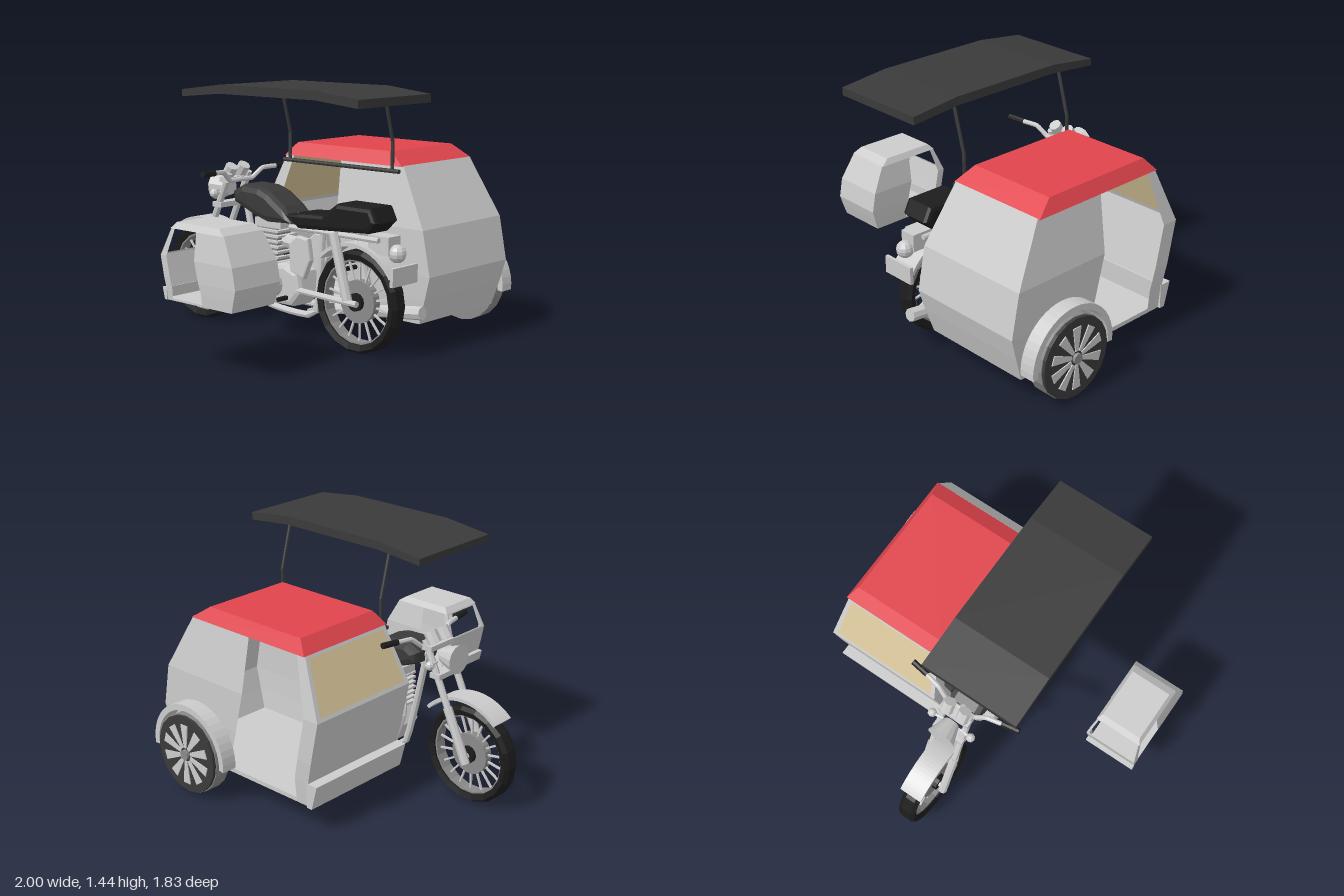
import * as THREE from 'three';

const GREY = 0xcccccc, DARK = 0x3a3a3a, BLACK = 0x1c1c1c, RED = 0xe0444c, TAN = 0xd8c69a, STEEL = 0x8a8a8a;
const V = (x, y, z) => new THREE.Vector3(x, y, z);
const CX = -0.06; // centre line of the motorcycle

function add(parent, name, geo, color = GREY, x = 0, y = 0, z = 0, double = false) {
  const mat = new THREE.MeshStandardMaterial({ color, flatShading: true });
  if (double) mat.side = THREE.DoubleSide;
  const m = new THREE.Mesh(geo, mat);
  m.name = name;
  m.position.set(x, y, z);
  parent.add(m);
  return m;
}
function group(parent, name, x = 0, y = 0, z = 0) {
  const g = new THREE.Group();
  g.name = name;
  g.position.set(x, y, z);
  parent.add(g);
  return g;
}
const box = (w, h, d) => new THREE.BoxGeometry(w, h, d);
const disc = (r, w, n = 18) => new THREE.CylinderGeometry(r, r, w, n).rotateZ(Math.PI / 2);

// Straight rod between two points
function rod(parent, name, a, b, r, color = GREY, r2 = r) {
  const geo = new THREE.CylinderGeometry(r2, r, a.distanceTo(b), 8);
  const m = add(parent, name, geo, color);
  m.position.copy(a).lerp(b, 0.5);
  m.quaternion.setFromUnitVectors(V(0, 1, 0), b.clone().sub(a).normalize());
  return m;
}
function tube(parent, name, pts, r, color = GREY) {
  const curve = new THREE.CatmullRomCurve3(pts, false, 'catmullrom', 0.2);
  return add(parent, name, new THREE.TubeGeometry(curve, 20, r, 8), color);
}
// Side outline (z, y) extruded across x, centred on x = 0
function sideExtrude(shape, w, bevel = 0) {
  const opt = { depth: w - 2 * bevel, bevelEnabled: bevel > 0, bevelThickness: bevel, bevelSize: bevel, bevelOffset: -bevel, bevelSegments: 2, curveSegments: 12 };
  return new THREE.ExtrudeGeometry(shape, opt).rotateY(-Math.PI / 2).translate(w / 2 - bevel, 0, 0);
}
const outline = pts => new THREE.Shape(pts.map(p => new THREE.Vector2(...p)));
function arch(r0, r1, from, to, w) {
  const s = new THREE.Shape(), k = Math.PI / 180;
  s.absarc(0, 0, r1, from * k, to * k, false);
  s.absarc(0, 0, r0, to * k, from * k, true);
  return sideExtrude(s, w);
}
// Sheet spanned between rows of points
function sheet(rows) {
  const p = [];
  for (let i = 0; i + 1 < rows.length; i++)
    for (let j = 0; j + 1 < rows[i].length; j++) {
      const a = rows[i][j], b = rows[i][j + 1], c = rows[i + 1][j + 1], d = rows[i + 1][j];
      for (const v of [a, b, c, a, c, d]) p.push(v.x, v.y, v.z);
    }
  const g = new THREE.BufferGeometry();
  g.setAttribute('position', new THREE.Float32BufferAttribute(p, 3));
  g.computeVertexNormals();
  return g;
}

// Cabin shell, x centred on 0
function cabin(parent, name, roofColor, glazed) {
  const g = group(parent, name);
  // height, half width, rear z, door rear z, door front z, front z
  const levels = [
    [0.16, 0.34, 0.82, 0.34, -0.15, -0.24],
    [0.305, 0.353, 0.865, 0.34, -0.15, -0.25],
    [0.43, 0.36, 0.9, 0.3, -0.18, -0.28],
    [0.68, 0.36, 0.85, 0.235, -0.235, -0.335],
    [1.01, 0.305, 0.67, 0.22, -0.14, -0.2],
  ];
  const shell = (n, rows) => add(g, n, sheet(rows), GREY, 0, 0, 0, true);
  shell('rearPanel', levels.map(([y, w, zr]) => [V(-w, y, zr), V(w, y, zr)]));
  for (const s of [-1, 1]) {
    shell('rearSidePanel', levels.map(([y, w, zr, zd]) => [V(s * w, y, zr), V(s * w, y, zd)]));
    shell('frontPillar', levels.map(([y, w, , , zd, zf]) => [V(s * w, y, zd), V(s * w, y, zf)]));
  }
  shell('frontPanel', levels.slice(0, 4).map(([y, w, , , , zf]) => [V(-w, y, zf), V(w, y, zf)]));
  // Window frame and glass in the sloped upper front
  const at = (u, v) => V(u * THREE.MathUtils.lerp(0.36, 0.305, v), 0.68 + 0.33 * v, -0.335 + 0.135 * v);
  const ring = (u, v0, v1) => [at(-u, v0), at(u, v0), at(u, v1), at(-u, v1), at(-u, v0)];
  shell('windowFrame', [ring(1, 0, 1), ring(0.92, 0.06, 0.93)]);
  if (glazed) add(g, 'windshield', sheet([[at(-0.92, 0.06), at(0.92, 0.06)], [at(-0.92, 0.93), at(0.92, 0.93)]]), TAN, 0, 0, 0, true);
  add(g, 'frontLip', sideExtrude(outline([[-0.24, 0.16], [-0.24, 0.305], [-0.315, 0.305], [-0.275, 0.16]]), 0.71));
  add(g, 'floor', box(0.68, 0.025, 1.06), GREY, 0, 0.172, 0.29);
  // Roof: sloped rim and flat top, open underneath
  const rim = (w, y, z0, z1) => [V(-w, y, z0), V(-w, y, z1), V(w, y, z1), V(w, y, z0), V(-w, y, z0)];
  add(g, 'roofRim', sheet([rim(0.318, 1.005, -0.205, 0.67), rim(0.275, 1.08, -0.14, 0.56)]), roofColor, 0, 0, 0, true);
  add(g, 'roofTop', sheet([[V(-0.275, 1.08, -0.14), V(-0.275, 1.08, 0.56)], [V(0.275, 1.08, -0.14), V(0.275, 1.08, 0.56)]]), roofColor, 0, 0, 0, true);
  return g;
}

function bikeWheel(parent, name, z) {
  const g = group(parent, name, 0, 0.285, z);
  const ring = pts => new THREE.LatheGeometry(pts.map(p => new THREE.Vector2(...p)), 18).rotateZ(Math.PI / 2);
  add(g, 'tire', ring([[0.235, -0.045], [0.268, -0.055], [0.285, -0.03], [0.285, 0.03], [0.268, 0.055], [0.235, 0.045], [0.235, -0.045]]), BLACK, 0, 0, 0, true);
  add(g, 'rim', ring([[0.225, -0.035], [0.238, -0.035], [0.238, 0.035], [0.225, 0.035], [0.225, -0.035]]), STEEL, 0, 0, 0, true);
  for (let i = 0; i < 18; i++) {
    const a = (i / 18) * Math.PI * 2;
    add(g, 'spoke', box(0.012, 0.13, 0.01), GREY, 0, 0.17 * Math.cos(a), 0.17 * Math.sin(a)).rotation.x = a;
  }
  add(g, 'hub', disc(0.12, 0.05), STEEL);
  add(g, 'hubCap', disc(0.05, 0.1, 12), BLACK);
}

function motorcycle(parent) {
  const g = group(parent, 'motorcycle', CX);
  bikeWheel(g, 'frontWheel', -0.635);
  bikeWheel(g, 'rearWheel', 0.575);
  add(g, 'frontFender', arch(0.32, 0.34, 42, 132, 0.14), GREY, 0, 0.285, -0.615);
  add(g, 'rearFender', arch(0.31, 0.33, 32, 135, 0.16), GREY, 0, 0.285, 0.575);
  // Bodywork
  add(g, 'fuelTank', sideExtrude(outline([[0.17, 0.67], [0.08, 0.76], [-0.03, 0.83], [-0.1, 0.855], [-0.23, 0.86], [-0.31, 0.82], [-0.3, 0.75], [-0.15, 0.69], [-0.05, 0.66]]), 0.22, 0.04), DARK);
  add(g, 'seat', sideExtrude(outline([[0.1, 0.72], [0.2, 0.65], [0.7, 0.68], [0.76, 0.74], [0.72, 0.82], [0.48, 0.82], [0.38, 0.75], [0.2, 0.74]]), 0.2, 0.025), BLACK);
  add(g, 'tailLight', new THREE.SphereGeometry(0.05, 10, 8), GREY, 0, 0.58, 0.83);
  add(g, 'tailBracket', box(0.1, 0.1, 0.14), GREY, 0, 0.62, 0.74);
  add(g, 'rearPlate', box(0.21, 0.1, 0.02), GREY, 0, 0.47, 0.875);
  // Engine with cooling fins
  add(g, 'crankcase', sideExtrude(outline([[0.22, 0.28], [0.2, 0.4], [0.1, 0.44], [-0.12, 0.42], [-0.17, 0.32], [-0.1, 0.2], [0.15, 0.2]]), 0.2, 0.03));
  for (const s of [-1, 1]) add(g, 'engineCover', disc(0.08, 0.05, 14), GREY, s * 0.105, 0.32, 0.01);
  add(g, 'cylinder', box(0.11, 0.26, 0.13), STEEL, 0, 0.53, -0.06);
  for (let i = 0; i < 7; i++) add(g, 'coolingFin', box(0.16, 0.012, 0.19), GREY, 0, 0.43 + i * 0.03, -0.06);
  add(g, 'cylinderHead', box(0.13, 0.05, 0.2), GREY, 0, 0.65, -0.06);
  rod(g, 'carburettor', V(0, 0.55, 0.02), V(0, 0.54, 0.18), 0.04);
  for (const s of [-1, 1])
    add(g, 'sideCover', sideExtrude(outline([[0.14, 0.4], [0.13, 0.56], [0.19, 0.61], [0.27, 0.6], [0.29, 0.48], [0.24, 0.37]]), 0.04, 0.01), GREY, s * 0.075);
  // Frame, swing arm, shocks and forks on both sides
  tube(g, 'downTube', [V(0, 0.78, -0.3), V(0, 0.4, -0.21), V(0, 0.17, -0.13), V(0, 0.16, 0.25), V(0, 0.62, 0.3)], 0.02);
  rod(g, 'backbone', V(0, 0.8, -0.32), V(0, 0.65, 0.3), 0.03);
  for (const s of [-1, 1]) {
    rod(g, 'swingArm', V(s * 0.08, 0.3, 0.18), V(s * 0.08, 0.285, 0.62), 0.018);
    rod(g, 'shockAbsorber', V(s * 0.09, 0.3, 0.56), V(s * 0.09, 0.66, 0.46), 0.028);
    rod(g, 'seatRail', V(s * 0.07, 0.65, 0.12), V(s * 0.07, 0.65, 0.76), 0.015);
    rod(g, 'forkLower', V(s * 0.08, 0.25, -0.655), V(s * 0.08, 0.55, -0.52), 0.026);
    rod(g, 'forkUpper', V(s * 0.08, 0.55, -0.52), V(s * 0.08, 0.91, -0.355), 0.02);
    rod(g, 'footPeg', V(s * 0.08, 0.25, 0.12), V(s * 0.17, 0.25, 0.12), 0.014, BLACK);
    // Handlebar, grip, gauge and indicator
    tube(g, 'handlebar', [V(0, 0.87, -0.34), V(s * 0.09, 0.87, -0.34), V(s * 0.16, 0.925, -0.32), V(s * 0.26, 0.93, -0.3)], 0.014);
    rod(g, 'grip', V(s * 0.25, 0.93, -0.3), V(s * 0.355, 0.935, -0.285), 0.018, BLACK);
    rod(g, 'gauge', V(s * 0.05, 0.89, -0.4), V(s * 0.05, 0.95, -0.36), 0.037);
    rod(g, 'indicatorStem', V(s * 0.06, 0.79, -0.42), V(s * 0.12, 0.79, -0.43), 0.01);
    add(g, 'indicator', new THREE.SphereGeometry(0.027, 8, 6), GREY, s * 0.13, 0.79, -0.43);
  }
  rod(g, 'axle', V(-0.1, 0.285, -0.64), V(0.1, 0.285, -0.64), 0.018);
  for (const [y, z] of [[0.87, -0.38], [0.72, -0.44]]) add(g, 'forkYoke', box(0.2, 0.03, 0.07), GREY, 0, y, z);
  add(g, 'headlight', new THREE.CylinderGeometry(0.085, 0.045, 0.11, 14).rotateX(-Math.PI / 2), GREY, 0, 0.815, -0.475);
  // Exhaust
  tube(g, 'exhaustPipe', [V(0.03, 0.55, -0.14), V(0.08, 0.42, -0.2), V(0.11, 0.2, -0.12), V(0.11, 0.18, 0.3)], 0.02);
  rod(g, 'muffler', V(0.11, 0.18, 0.28), V(0.12, 0.25, 0.91), 0.03, GREY, 0.038);
}

function sidecar(parent) {
  const g = group(parent, 'sidecar');
  cabin(g, 'cabin', RED, true).position.x = 0.49;
  add(g, 'storageBox', box(0.08, 0.17, 0.29), DARK, 0.19, 0.265, -0.015);
  // Wheel with fan-shaped spokes
  const w = group(g, 'sideWheel', 0.92, 0.255, 0.575);
  add(w, 'tire', disc(0.235, 0.09, 20), STEEL);
  add(w, 'wheelFace', disc(0.23, 0.02, 20), DARK, 0.053);
  for (let i = 0; i < 10; i++) {
    const a = (i / 10) * Math.PI * 2;
    const blade = sideExtrude(outline([[-0.01, 0.04], [0.01, 0.04], [0.028, 0.18], [-0.028, 0.18]]), 0.008);
    add(w, 'spoke', blade, GREY, 0.065).rotation.x = a;
  }
  add(w, 'hub', disc(0.03, 0.16, 10), STEEL);
  add(w, 'axle', disc(0.025, 0.2, 10), STEEL, -0.1);
  add(w, 'fender', arch(0.255, 0.29, -5, 185, 0.09));
  // Struts joining sidecar and motorcycle
  for (const z of [0, 0.38])
    for (const y of [0.42, 0.46]) rod(g, 'strut', V(CX, y, z), V(0.16, y, z), 0.014, BLACK);
  rod(g, 'lowerStrut', V(CX, 0.17, 0.2), V(0.2, 0.17, 0.2), 0.015);
}

function canopy(parent) {
  const g = group(parent, 'canopy');
  add(g, 'canopyRoof', sideExtrude(outline([[0.89, 1.37], [0.89, 1.415], [0.6, 1.447], [-0.1, 1.447], [-0.4, 1.41], [-0.4, 1.37], [-0.1, 1.398], [0.6, 1.398]]), 0.59), DARK, -0.165);
  for (const z of [0.6, -0.165]) {
    rod(g, 'upperPost', V(0.175, 1.14, z), V(0.1, 1.41, z), 0.01, DARK);
    rod(g, 'lowerPost', V(0.175, 0.97, z), V(0.175, 1.145, z), 0.01, DARK);
  }
  rod(g, 'sideRail', V(0.16, 0.98, -0.2), V(0.16, 0.98, 0.66), 0.012, DARK);
}

export function createModel() {
  const model = new THREE.Group();
  model.name = 'sidecarTricycle';
  motorcycle(model);
  sidecar(model);
  canopy(model);
  // Small spare cabin standing apart
  const k = 0.444, small = cabin(model, 'smallCabin', GREY, false);
  small.scale.setScalar(k);
  small.position.set(-0.84, 0.37 - 0.16 * k, 0.02 + 0.335 * k);
  return model;
}
